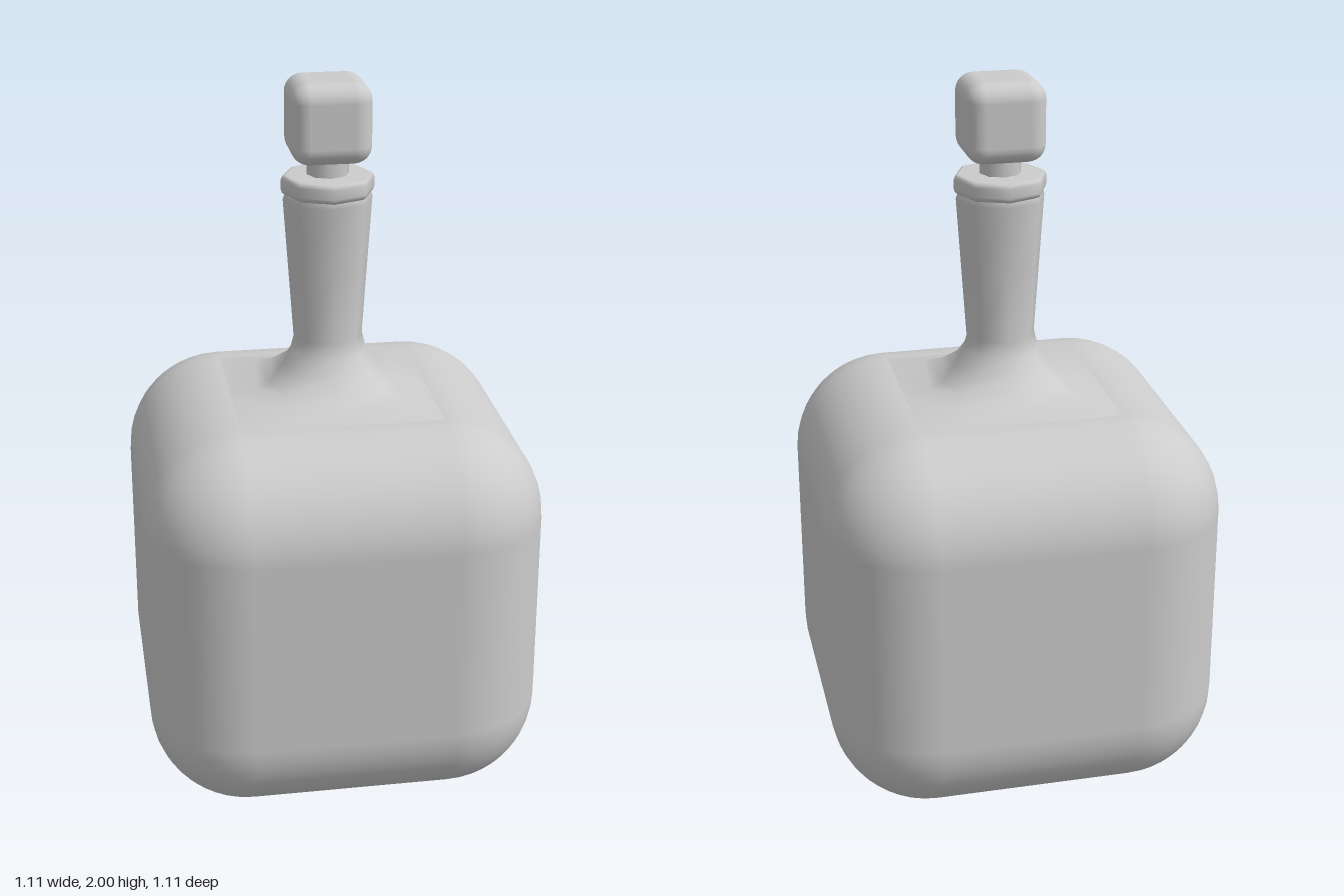
import * as THREE from 'three';
import { RoundedBoxGeometry } from 'three/addons/geometries/RoundedBoxGeometry.js';

const SIDES = 8;
const SIZE = 1.11, ROUND = 0.275, FLAT = SIZE / 2 - ROUND;

// Skin 8-point rings; each ring is [axisRadius, axisY, diagonalRadius, diagonalY]
function loftRings(rings) {
  const pos = [], index = [];
  for (const [ra, ya, rd, yd] of rings) {
    for (let i = 0; i < SIDES; i++) {
      const a = (i / SIDES) * Math.PI * 2;
      const r = i % 2 ? rd : ra;
      pos.push(Math.sin(a) * r, i % 2 ? yd : ya, Math.cos(a) * r);
    }
  }
  for (let j = 0; j < rings.length - 1; j++) {
    for (let i = 0; i < SIDES; i++) {
      const a = j * SIDES + i, b = j * SIDES + (i + 1) % SIDES;
      index.push(a, b, b + SIDES, a, b + SIDES, a + SIDES);
    }
  }
  const g = new THREE.BufferGeometry();
  g.setAttribute('position', new THREE.Float32BufferAttribute(pos, 3));
  g.setIndex(index);
  g.computeVertexNormals();
  return g;
}

// Rounded cube whose flat top is left open for the shoulder
function openBody() {
  const g = new RoundedBoxGeometry(SIZE, SIZE, SIZE, 6, ROUND);
  const p = g.attributes.position, keep = [];
  const onTop = (v) => p.getY(v) > SIZE / 2 - 1e-4 &&
    Math.max(Math.abs(p.getX(v)), Math.abs(p.getZ(v))) < FLAT + 1e-4;
  for (let i = 0; i < p.count; i += 3) {
    if (!(onTop(i) && onTop(i + 1) && onTop(i + 2))) keep.push(i, i + 1, i + 2);
  }
  g.setIndex(keep);
  return g.translate(0, SIZE / 2, 0);
}

function lathe(points) {
  return new THREE.LatheGeometry(points.map(([x, y]) => new THREE.Vector2(x, y)), SIDES);
}

export function createModel() {
  const group = new THREE.Group();
  const material = new THREE.MeshStandardMaterial({ color: 0xcccccc });
  const add = (name, geometry) => {
    const mesh = new THREE.Mesh(geometry, material);
    mesh.name = name;
    group.add(mesh);
    return mesh;
  };

  add('body', openBody());

  // Square shoulder with raised diagonals, blending into the eight-sided neck
  add('shoulderAndNeck', loftRings([
    [FLAT, SIZE, FLAT * Math.SQRT2, SIZE],
    [0.2, 1.118, 0.265, 1.135],
    [0.165, 1.14, 0.2, 1.155],
    [0.13, 1.19, 0.145, 1.19],
    [0.108, 1.235, 0.112, 1.235],
    [0.097, 1.275, 0.097, 1.275],
    [0.111, 1.48, 0.111, 1.48],
    [0.124, 1.67, 0.124, 1.67],
    [0.12, 1.684, 0.12, 1.684],
  ]));

  add('lip', lathe([
    [0, 1.683], [0.118, 1.683], [0.126, 1.689], [0.129, 1.698],
    [0.129, 1.724], [0.126, 1.733], [0.118, 1.738], [0, 1.738],
  ]));

  add('stopperStem', lathe([[0.058, 1.73], [0.058, 1.79]]));

  add('stopper', new RoundedBoxGeometry(0.22, 0.22, 0.22, 4, 0.05)).position.y = 1.89;

  return group;
}
